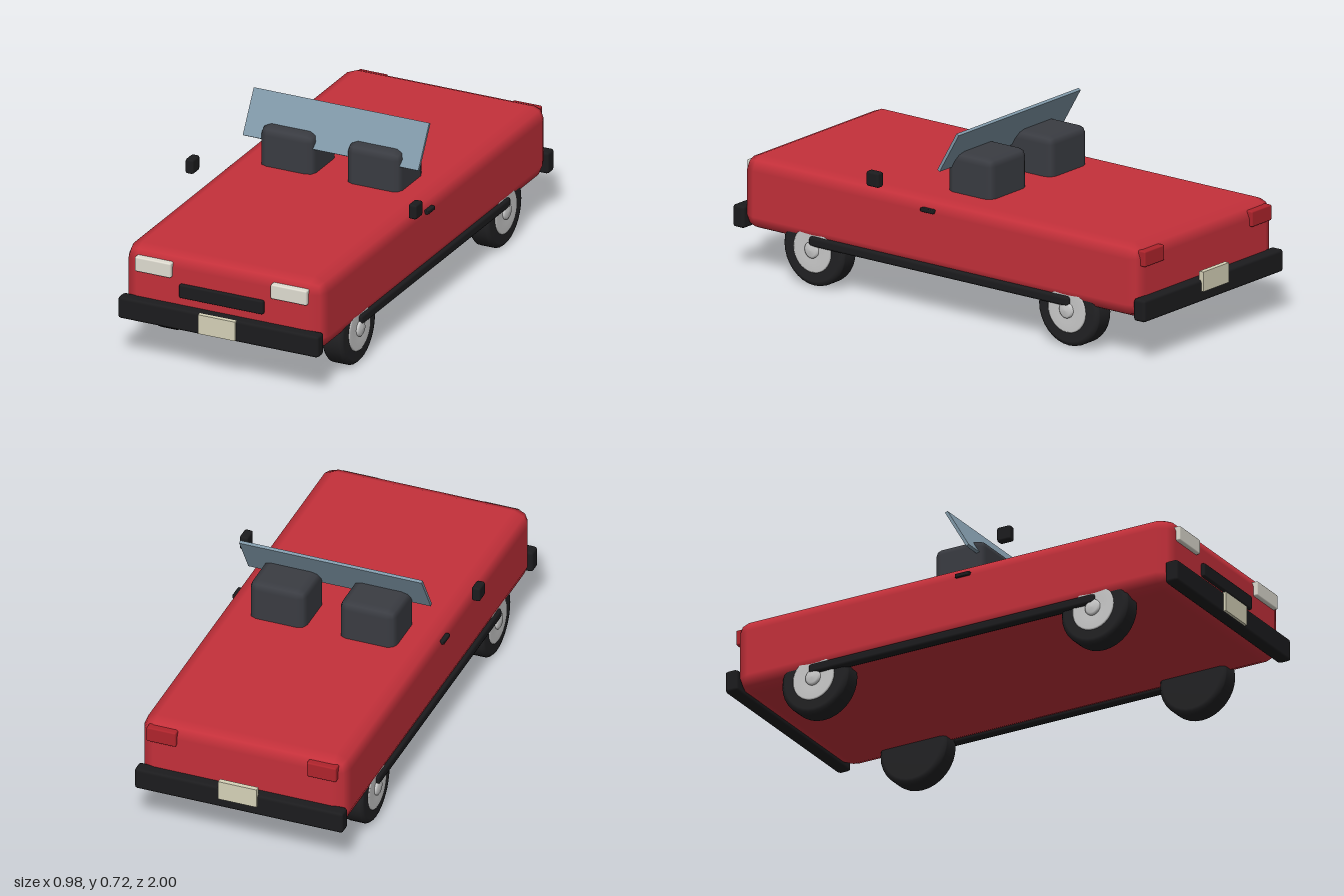
import * as THREE from 'three';
import { RoundedBoxGeometry } from 'three/addons/geometries/RoundedBoxGeometry.js';

const paint = (color) => new THREE.MeshStandardMaterial({ color });
const RED = paint(0xc4303a), BLACK = paint(0x1c1c1e), SEAT = paint(0x3a3c42);
const GLASS = paint(0x8098a8), LAMP = paint(0xe0ddd2), TAIL = paint(0xb0242c);
const PLATE = paint(0xd6d2b8), SILVER = paint(0xc4c4c6), TYRE = paint(0x222224);

export function createModel() {
  const car = new THREE.Group();
  car.name = 'convertible';

  // Box given by its limits on each axis; r > 0 softens the edges
  function block(name, mat, [x0, x1], [y0, y1], [z0, z1], r = 0) {
    const w = x1 - x0, h = y1 - y0, d = z1 - z0;
    const geo = r ? new RoundedBoxGeometry(w, h, d, 1, r) : new THREE.BoxGeometry(w, h, d);
    const mesh = new THREE.Mesh(geo, mat);
    mesh.name = name;
    mesh.position.set((x0 + x1) / 2, (y0 + y1) / 2, (z0 + z1) / 2);
    car.add(mesh);
    return mesh;
  }
  // The same block on the left (+x) and the right (-x)
  function pair(name, mat, [x0, x1], y, z, r) {
    block(name + 'Left', mat, [x0, x1], y, z, r);
    block(name + 'Right', mat, [-x1, -x0], y, z, r);
  }

  // Body shell
  block('body', RED, [-0.42, 0.42], [0.165, 0.459], [-0.95, 0.95], 0.057);

  // Bumpers and number plates
  block('frontBumper', BLACK, [-0.423, 0.423], [0.167, 0.256], [0.935, 0.99], 0.012);
  block('rearBumper', BLACK, [-0.423, 0.423], [0.167, 0.256], [-0.99, -0.935], 0.012);
  block('frontPlate', PLATE, [-0.078, 0.078], [0.176, 0.254], [0.98, 1]);
  block('rearPlate', PLATE, [-0.078, 0.078], [0.21, 0.288], [-1, -0.98]);

  // Grille and lamps
  block('grille', BLACK, [-0.177, 0.177], [0.289, 0.344], [0.94, 0.965], 0.006);
  pair('headlight', LAMP, [0.21, 0.363], [0.363, 0.423], [0.93, 0.967], 0.006);
  pair('tailLight', TAIL, [0.265, 0.385], [0.373, 0.435], [-0.963, -0.92], 0.006);

  // Sills, door handles and mirrors
  pair('sill', BLACK, [0.385, 0.425], [0.16, 0.2], [-0.625, 0.625], 0.012);
  pair('doorHandle', BLACK, [0.41, 0.43], [0.403, 0.419], [0.02, 0.083], 0.004);
  pair('mirror', BLACK, [0.453, 0.488], [0.477, 0.537], [0.237, 0.297], 0.009);

  // Seats
  pair('seat', SEAT, [0.068, 0.297], [0.36, 0.616], [-0.152, 0.062], 0.032);

  // Windscreen, leaning back
  const screen = block('windscreen', GLASS, [-0.37, 0.37], [0.545, 0.73], [-0.011, 0.001]);
  screen.rotation.x = -Math.PI / 6;

  // Wheels: turned profiles of [radius, distance along the axle]
  const turned = (pts) =>
    new THREE.LatheGeometry(pts.map(([r, a]) => new THREE.Vector2(r, a)), 32).rotateZ(-Math.PI / 2);
  const tyreGeo = turned([[0, -0.046], [0.125, -0.046], [0.136, -0.043], [0.144, -0.034],
    [0.145, -0.028], [0.145, 0.028], [0.144, 0.034], [0.136, 0.043], [0.125, 0.046], [0, 0.046]]);
  const rimGeo = turned([[0.09, 0.03], [0.09, 0.048], [0.085, 0.051], [0.05, 0.049], [0, 0.048]]);
  const hubGeo = turned([[0.032, 0.045], [0.032, 0.054], [0.024, 0.059], [0, 0.061]]);
  for (const side of [1, -1]) {
    for (const [end, z] of [['front', 0.615], ['rear', -0.608]]) {
      const wheel = new THREE.Group();
      wheel.name = end + 'Wheel' + (side > 0 ? 'Left' : 'Right');
      for (const [name, geo, mat] of [['tyre', tyreGeo, TYRE], ['rim', rimGeo, SILVER], ['hubCap', hubGeo, SILVER]]) {
        const mesh = new THREE.Mesh(geo, mat);
        mesh.name = name;
        wheel.add(mesh);
      }
      wheel.position.set(side * 0.363, 0.145, z);
      if (side < 0) wheel.rotation.y = Math.PI;
      car.add(wheel);
    }
  }
  return car;
}
